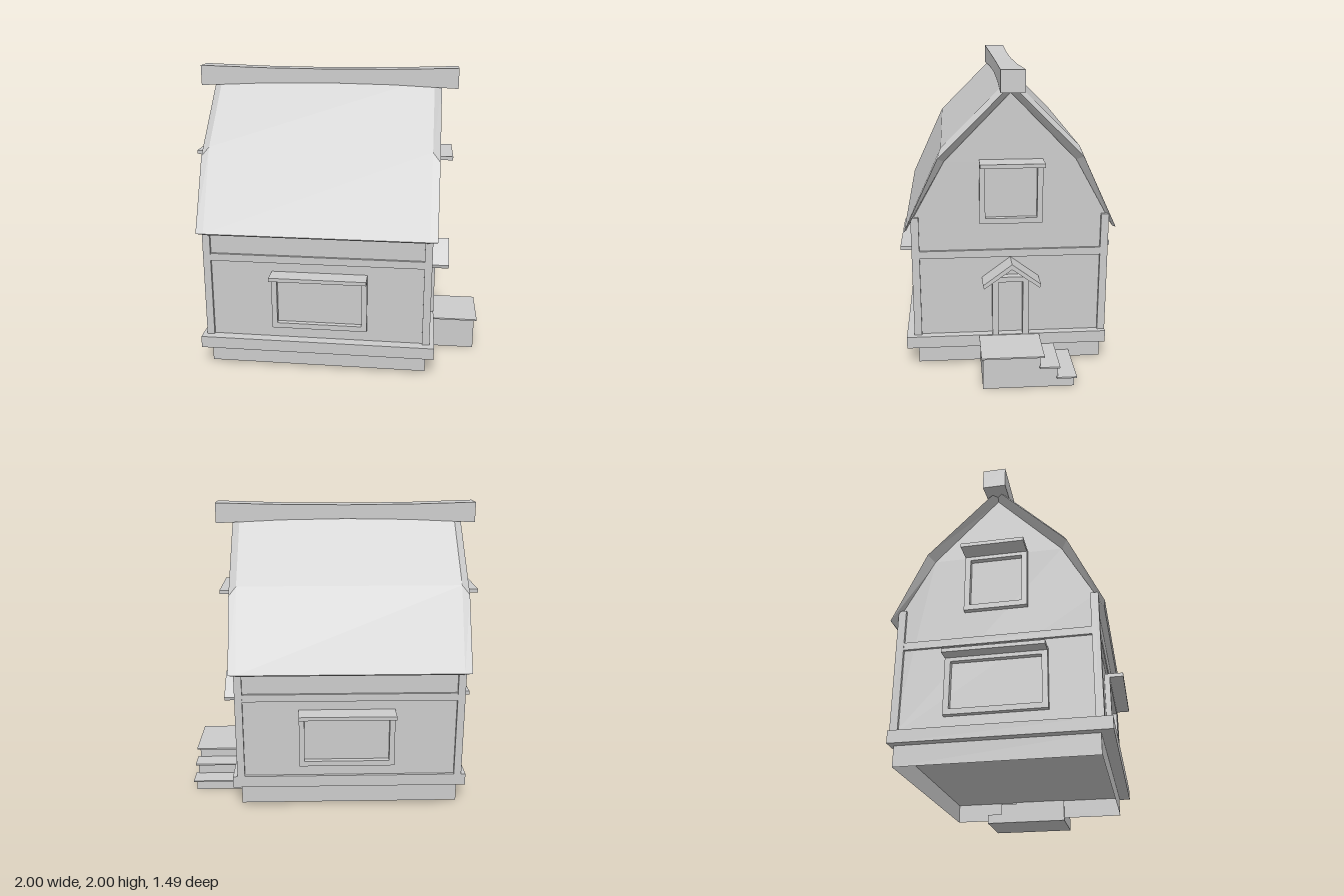
import * as THREE from 'three';

const material = new THREE.MeshStandardMaterial({ color: 0xcccccc, flatShading: true, side: THREE.DoubleSide });

function add(parent, name, geometry) {
  const mesh = new THREE.Mesh(geometry, material);
  mesh.name = name;
  parent.add(mesh);
  return mesh;
}

// Box given by its minimum and maximum on each axis
function box(parent, name, x0, x1, y0, y1, z0, z1) {
  const mesh = add(parent, name, new THREE.BoxGeometry(x1 - x0, y1 - y0, z1 - z0));
  mesh.position.set((x0 + x1) / 2, (y0 + y1) / 2, (z0 + z1) / 2);
  return mesh;
}

function polygon(points) {
  return new THREE.Shape(points.map(([x, y]) => new THREE.Vector2(x, y)));
}

// Extrude a (z, y) outline along x, from x0 to x1
function extrudeX(parent, name, points, x0, x1) {
  const geometry = new THREE.ExtrudeGeometry(polygon(points.map(([z, y]) => [-z, y])), { depth: x1 - x0, bevelEnabled: false });
  geometry.rotateY(Math.PI / 2);
  const mesh = add(parent, name, geometry);
  mesh.position.x = x0;
  return mesh;
}

// Framed window with a projecting hood, built facing +z with the wall at z = 0
function makeWindow(name, w, h, hoodDepth) {
  const group = new THREE.Group();
  group.name = name;
  const a = w / 2, b = 0.036;
  const frame = polygon([[-a, 0], [a, 0], [a, h], [-a, h]]);
  frame.holes.push(polygon([[-a + b, b], [-a + b, h - 0.05], [a - b, h - 0.05], [a - b, b]]));
  add(group, 'windowFrame', new THREE.ExtrudeGeometry(frame, { depth: 0.035, bevelEnabled: false }));
  box(group, 'windowHood', -a, a, h - 0.025, h, 0, hoodDepth);
  return group;
}

// Roof shell lofted through gambrel cross-sections, with drooping ends
function roofGeometry() {
  const mirror = (half) => [...half, ...half.slice(0, -1).reverse().map(([z, y]) => [-z, y])];
  const outer = mirror([[0.68, 0.97], [0.437, 1.5], [0, 1.935]]);
  const edge = mirror([[0.68, 0.97], [0.46, 1.44], [0, 1.895]]);
  const inner = mirror([[0.67, 0.96], [0.42, 1.41], [0, 1.84]]);
  const loops = [[-0.73, inner], [-0.79, edge], [-0.74, outer], [0.74, outer], [0.79, edge], [0.73, inner]]
    .map(([x, profile]) => profile.map(([z, y]) => [x, y, z]));
  const positions = [];
  const quad = (a, b, c, d) => positions.push(...a, ...b, ...c, ...a, ...c, ...d);
  loops.forEach((loop, i) => {
    const next = loops[(i + 1) % loops.length];
    for (let j = 0; j < loop.length - 1; j++) quad(loop[j], next[j], next[j + 1], loop[j + 1]);
  });
  // Undersides of the eaves
  for (const j of [0, 4]) quad(loops[0][j], loops[1][j], loops[4][j], loops[5][j]);
  const geometry = new THREE.BufferGeometry();
  geometry.setAttribute('position', new THREE.Float32BufferAttribute(positions, 3));
  geometry.computeVertexNormals();
  return geometry;
}

// Ridge beam that is slimmer towards its middle
function ridgeGeometry() {
  const geometry = new THREE.BoxGeometry(1.78, 1, 1, 4, 1, 1);
  const p = geometry.attributes.position;
  for (let i = 0; i < p.count; i++) {
    const t = 1 - (p.getX(i) / 0.89) ** 2;
    p.setY(i, p.getY(i) > 0 ? 1.997 - 0.017 * t : 1.86 + 0.026 * t);
    p.setZ(i, Math.sign(p.getZ(i)) * (0.075 - 0.014 * t));
  }
  geometry.computeVertexNormals();
  return geometry;
}

export function createModel() {
  const model = new THREE.Group();
  model.name = 'cottage';
  const house = new THREE.Group();
  house.name = 'house';
  house.position.x = -0.1;
  model.add(house);

  // Open-bottomed foundation and the plinth above it
  const skirt = new THREE.BoxGeometry(1.47, 0.13, 1.23);
  const index = Array.from(skirt.index.array);
  skirt.setIndex([...index.slice(0, 12), ...index.slice(24)]);
  skirt.clearGroups();
  add(house, 'foundation', skirt).position.set(0, 0.085, 0);
  box(house, 'plinth', -0.79, 0.79, 0.15, 0.23, -0.64, 0.69);

  // Walls with gables, corner posts and a belt beam
  const half = [[0.62, 0.22], [0.62, 1.05], [0.42, 1.41]];
  extrudeX(house, 'walls', [...half, [0, 1.84], ...half.map(([z, y]) => [-z, y]).reverse()], -0.74, 0.74);
  for (const sx of [-1, 1]) for (const sz of [-1, 1]) {
    const x = sx * 0.735, z = sz * 0.615;
    box(house, 'cornerPost', x - 0.025, x + 0.025, 0.22, 1.05, z - 0.025, z + 0.025);
  }
  box(house, 'beltBeam', -0.757, 0.757, 0.77, 0.82, -0.637, 0.637);

  // Roof and ridge
  add(house, 'roof', roofGeometry());
  add(house, 'ridgeBeam', ridgeGeometry()).position.x = 0.01;

  // Windows: name, width, height, hood depth, position, turn
  for (const [name, w, h, hood, x, y, z, turn] of [
    ['frontWindow', 0.64, 0.395, 0.122, 0.02, 0.31, 0.62, 0],
    ['backWindow', 0.64, 0.395, 0.128, 0.02, 0.31, -0.62, 2],
    ['rightWallWindow', 0.635, 0.395, 0.12, -0.74, 0.31, 0.005, -1],
    ['rightGableWindow', 0.405, 0.415, 0.16, -0.74, 1.005, -0.003, -1],
    ['leftGableWindow', 0.405, 0.415, 0.14, 0.74, 1.005, -0.003, 1],
  ]) {
    const win = makeWindow(name, w, h, hood);
    win.position.set(x, y, z);
    win.rotation.y = turn * Math.PI / 2;
    house.add(win);
  }

  // Door frame with a small pitched canopy
  for (const s of [-1, 1]) box(model, 'doorPost', 0.64, 0.69, 0.22, 0.64, s * 0.1 - 0.02, s * 0.1 + 0.02);
  box(model, 'doorLintel', 0.64, 0.69, 0.605, 0.64, -0.12, 0.12);
  extrudeX(model, 'doorCanopy',
    [[0, 0.765], [0.187, 0.625], [0.18, 0.6], [0, 0.73], [-0.18, 0.6], [-0.187, 0.625]], 0.64, 0.785);

  // Porch and descending steps, each with an overhanging tread
  const porch = new THREE.Group();
  porch.name = 'porch';
  model.add(porch);
  extrudeX(porch, 'porchBase', [[0.2, 0], [0.2, 0.215], [-0.165, 0.215], [-0.165, 0.14],
    [-0.28, 0.14], [-0.28, 0.065], [-0.385, 0.065], [-0.385, 0]], 0.62, 0.98);
  [[0.225, -0.19, 0.21], [0.148, -0.29, -0.16], [0.073, -0.4, -0.27]].forEach(([y, z0, z1]) =>
    box(porch, 'tread', 0.64, 1, y - 0.01, y, z0, z1));

  return model;
}
